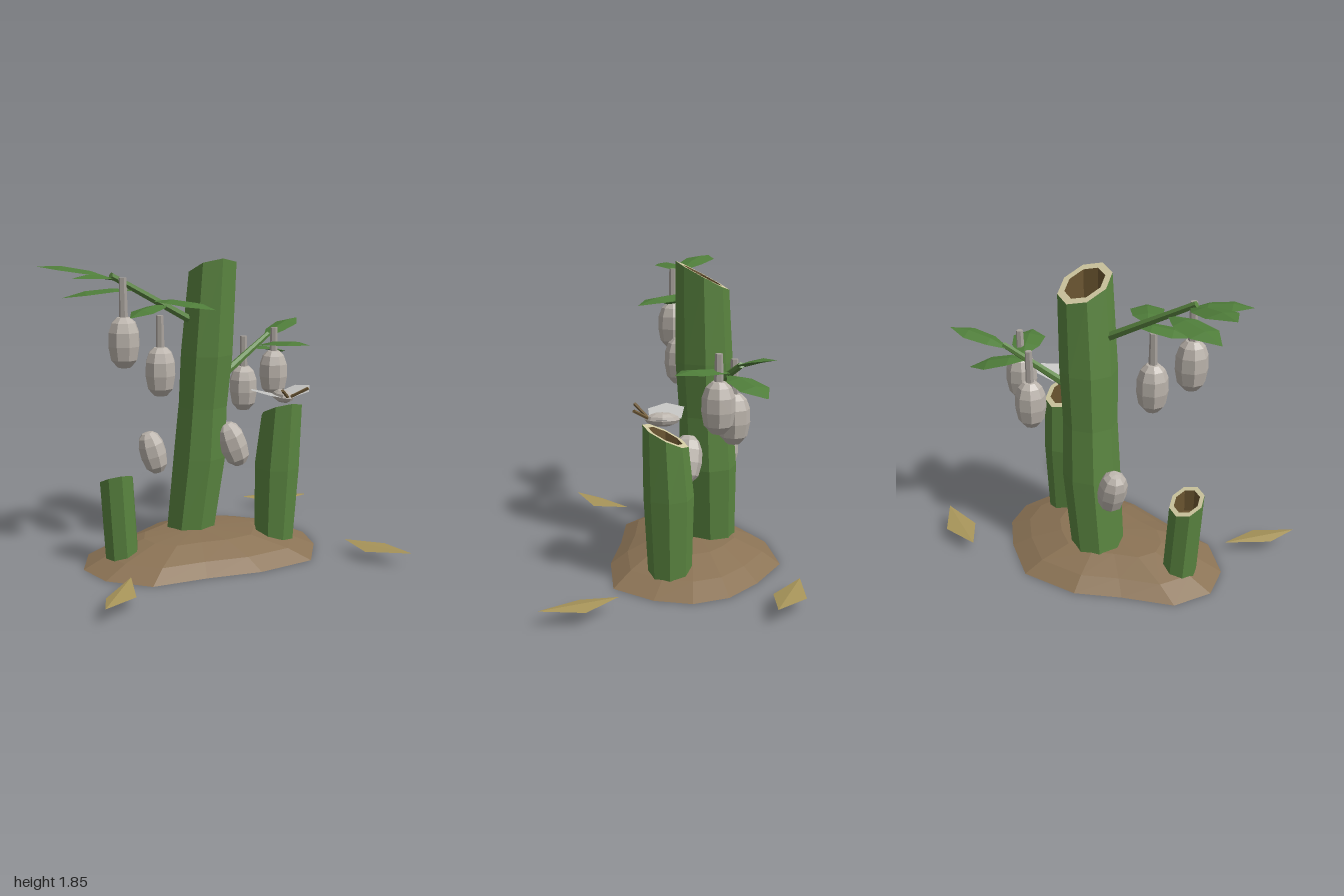
import * as THREE from 'three';

const mat = (name, color, side = THREE.FrontSide) =>
  Object.assign(new THREE.MeshStandardMaterial({ color, side, flatShading: true }), { name });

const V = (a) => new THREE.Vector3(...a);

export function createModel() {
  const M = {
    cane: mat('cane green', 0x5a8540),
    leaf: mat('leaf green', 0x4f7d3a, THREE.DoubleSide),
    rim: mat('cut cream', 0xcfc8a0),
    hollow: mat('hollow brown', 0x6b5530),
    soil: mat('soil brown', 0x8b7355, THREE.DoubleSide),
    litter: mat('dry leaf tan', 0xa8955a, THREE.DoubleSide),
    pod: mat('pod grey', 0xbab3ab),
    thread: mat('thread grey', 0xa8a29c),
    wing: mat('wing grey', 0xc4c4c2, THREE.DoubleSide),
    feeler: mat('feeler brown', 0x6f5a38),
  };
  const model = new THREE.Group();
  model.name = 'bambooGrove';
  const add = (name, geo, material, parent = model) => {
    const mesh = new THREE.Mesh(geo, material);
    mesh.name = name;
    parent.add(mesh);
    return mesh;
  };
  const buffer = (pos, idx) => {
    const g = new THREE.BufferGeometry();
    g.setAttribute('position', new THREE.Float32BufferAttribute(pos, 3));
    g.setIndex(idx);
    const flat = g.toNonIndexed();
    flat.computeVertexNormals();
    return flat;
  };
  // Join equal-length rows of points; upward rows give outward faces
  const loft = (rows, closed = true) => {
    const n = rows[0].length, idx = [];
    for (let r = 0; r < rows.length - 1; r++)
      for (let i = 0; i < (closed ? n : n - 1); i++) {
        const a = r * n + i, b = r * n + (i + 1) % n;
        idx.push(a, a + n, b, b, a + n, b + n);
      }
    return buffer(rows.flat(2), idx);
  };

  // Hollow canes: rings are [x, y, z, radius], the top is cut on a slope
  const ring = ([x, y, z, r], slope = 0) => Array.from({ length: 8 }, (_, i) => {
    const a = i * Math.PI / 4;
    return [x + r * Math.cos(a), y + slope * r * Math.sin(a), z + r * Math.sin(a)];
  });
  const cane = (name, rings, slope) => {
    const g = new THREE.Group();
    g.name = name;
    model.add(g);
    const last = rings.length - 1, low = rings[0], top = rings[last];
    const inset = ([x, y, z, r], k, dy = 0) => [x, y + dy, z, r * k];
    const s = (i) => (i === last ? slope : 0);
    add('caneWall', loft([ring(inset(low, 0.74)), ...rings.map((r, i) => ring(r, s(i)))]), M.cane, g);
    add('caneRim', loft([ring(top, slope), ring(inset(top, 0.74), slope)]), M.rim, g);
    const d = top[3] * 1.3;
    add('topHollow', loft([ring(inset(top, 0.74), slope), ring(inset(top, 0.7, -d), slope),
      ring(inset(top, 0.001, -d), slope)]), M.hollow, g);
    add('baseHollow', loft([ring(inset(low, 0.001, 0.1)), ring(inset(low, 0.74, 0.1)),
      ring(inset(low, 0.74))]), M.hollow, g);
  };
  cane('tallCane', [[-0.07, 0.05, -0.24, 0.165], [-0.06, 0.14, -0.24, 0.163], [-0.005, 0.6, -0.225, 0.176],
    [0.012, 0.93, -0.21, 0.163], [0.033, 1.26, -0.195, 0.172], [0.067, 1.77, -0.18, 0.157]], 0.53);
  cane('middleCane', [[0.415, 0.055, 0.015, 0.128], [0.427, 0.54, 0.022, 0.146],
    [0.446, 0.905, 0.04, 0.131]], 0.5);
  cane('shortCane', [[-0.587, 0.05, -0.085, 0.104], [-0.615, 0.55, -0.075, 0.104]], 0.5);

  // Earth mound: one outline shrunk toward its middle
  const outline = [[-0.2, -0.62], [0.16, -0.67], [0.44, -0.5], [0.635, -0.32], [0.71, -0.11], [0.665, 0.11],
    [0.505, 0.345], [0.14, 0.38], [-0.2, 0.33], [-0.535, 0.31], [-0.76, 0.12], [-0.83, -0.1],
    [-0.73, -0.33], [-0.445, -0.47]];
  add('mound', loft([[1, 0], [0.8, 0.065], [0.48, 0.13], [0.001, 0.148]].map(([k, y]) =>
    outline.map(([x, z]) => [-0.06 + (x + 0.06) * k, y, -0.14 + (z + 0.14) * k]))), M.soil);

  // Fallen dry leaves, each a creased diamond
  [
    [[0.56, 0.085, -0.73], [0.735, 0.07, -0.555], [0.99, 0.1, -0.55], [0.815, 0.08, -0.73]],
    [[-0.665, 0.08, 0.3], [-0.88, 0.075, 0.5], [-0.94, 0.1, 0.68], [-0.72, 0.07, 0.545]],
    [[0.78, 0.08, 0.3], [0.79, 0.07, 0.515], [0.99, 0.1, 0.72], [0.97, 0.08, 0.465]],
  ].forEach((q) => add('fallenLeaf', buffer(q.flat(), [0, 1, 2, 0, 2, 3]), M.litter));

  // Tapered rod between two points
  const rod = (name, a, b, ra, rb, sides, material) => {
    const p = V(a), d = V(b).sub(p);
    const m = add(name, new THREE.CylinderGeometry(rb, ra, d.length(), sides), material);
    m.position.copy(p).addScaledVector(d, 0.5);
    m.quaternion.setFromUnitVectors(new THREE.Vector3(0, 1, 0), d.normalize());
  };
  rod('rightBranch', [-0.05, 1.46, -0.18], [-0.62, 1.77, -0.07], 0.028, 0.02, 6, M.cane);
  rod('leftBranch', [0.12, 1.09, -0.2], [0.56, 1.33, -0.37], 0.028, 0.018, 6, M.cane);

  // Arched leaves with a raised midrib: base, tip, width
  const leaf = (base, tip, width) => {
    const a = V(base), d = V(tip).sub(a);
    const side = new THREE.Vector3(-d.z, 0, d.x).normalize();
    const rows = [[0, 0.12], [0.3, 0.85], [0.68, 1], [1, 0.02]].map(([t, w]) => [-1, 0, 1].map((s) => {
      const p = a.clone().addScaledVector(d, t).addScaledVector(side, s * w * width / 2);
      p.y += 0.03 * Math.sin(Math.PI * t) - Math.abs(s) * w * 0.018;
      return p.toArray();
    }));
    add('leaf', loft(rows, false), M.leaf);
  };
  leaf([-0.6, 1.75, -0.08], [-1, 1.82, -0.27], 0.2);
  leaf([-0.58, 1.74, -0.08], [-0.885, 1.77, 0.075], 0.17);
  leaf([-0.47, 1.68, -0.1], [-0.875, 1.64, -0.2], 0.2);
  leaf([-0.34, 1.61, -0.12], [-0.085, 1.575, 0.2], 0.2);
  leaf([-0.26, 1.58, -0.13], [-0.54, 1.53, 0.02], 0.17);
  leaf([0.53, 1.31, -0.36], [0.86, 1.41, -0.515], 0.17);
  leaf([0.46, 1.27, -0.31], [0.67, 1.295, -0.01], 0.2);
  leaf([0.43, 1.25, -0.31], [0.73, 1.18, -0.5], 0.2);

  // Blunt pods
  const podGeo = new THREE.LatheGeometry([[0.001, -0.15], [0.04, -0.145], [0.08, -0.1], [0.095, -0.02],
    [0.092, 0.06], [0.072, 0.115], [0.04, 0.145], [0.001, 0.15]].map((p) => new THREE.Vector2(...p)), 8);
  const pod = (name, x, y, z) => {
    const m = add(name, podGeo, M.pod);
    m.position.set(x, y, z);
    return m;
  };
  // Hanging pods with their threads: x, y, z, thread top
  [[-0.568, 1.39, -0.015, 1.76], [-0.33, 1.195, -0.055, 1.53], [0.54, 1.09, -0.25, 1.39],
    [0.37, 0.985, -0.35, 1.33]].forEach(([x, y, z, top]) => {
    pod('hangingPod', x, y, z);
    rod('podThread', [x, y + 0.14, z], [x, top, z], 0.026, 0.022, 6, M.thread);
  });
  // Pods clinging to the tall cane
  const back = pod('clingingPod', -0.275, 0.615, -0.35);
  back.rotation.set(-0.1, 0, 0.25);
  back.scale.setScalar(0.92);
  const front = pod('clingingPod', 0.17, 0.685, -0.09);
  front.rotation.set(-0.1, 0, 0.35);
  front.scale.setScalar(0.97);

  // Moth resting on the middle cane
  const body = add('mothBody', new THREE.SphereGeometry(1, 8, 6), M.pod);
  body.scale.set(0.055, 0.04, 0.1);
  body.position.set(0.443, 1.0, 0.058);
  for (const s of [-1, 1]) {
    const x = (d) => 0.443 + s * d;
    const edge = [[0.02, 1.0, -0.05], [0.16, 1.035, -0.07], [0.207, 1.048, 0.035],
      [0.14, 1.03, 0.14], [0.02, 1.0, 0.13]].flatMap(([d, y, z]) => [x(d), y, z]);
    add('mothWing', buffer(edge, [0, 1, 2, 0, 2, 3, 0, 3, 4]), M.wing);
    rod('mothFeeler', [x(0.012), 1.01, 0.14], [x(0.09), 1.07, 0.215], 0.01, 0.01, 5, M.feeler);
  }
  return model;
}
